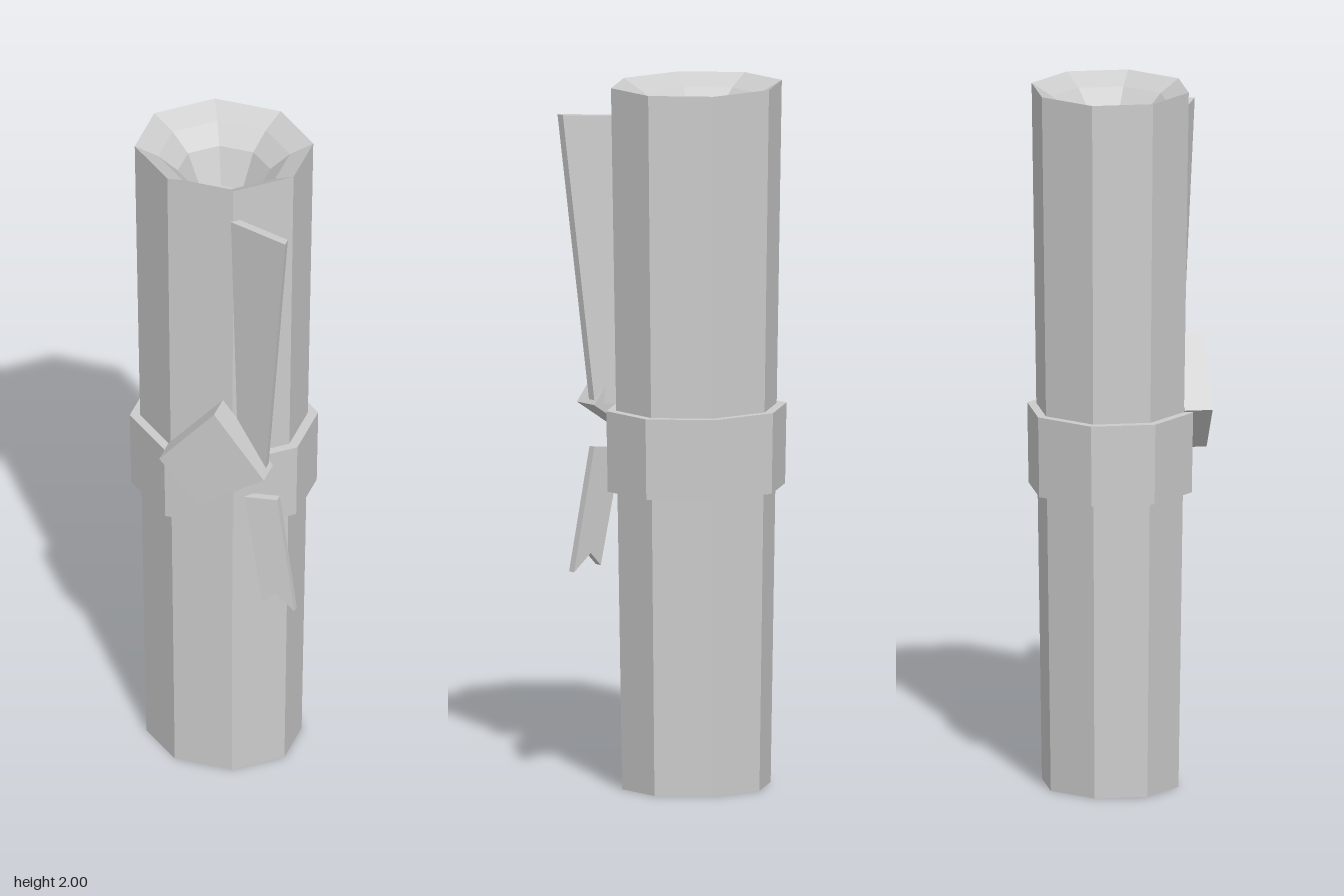
import * as THREE from 'three';

const SIDES = 8;
const AXIS_X = -0.019, AXIS_Z = -0.032, DEPTH_RATIO = 0.886;

export function createModel() {
  const group = new THREE.Group();
  group.name = 'tiedScroll';
  const paper = new THREE.MeshStandardMaterial({ color: 0xcccccc, flatShading: true });
  paper.name = 'plain grey';

  function add(name, geometry) {
    const mesh = new THREE.Mesh(geometry, paper);
    mesh.name = name;
    group.add(mesh);
    return mesh;
  }

  // Eight-sided turned part; the profile holds [half width, height] pairs
  function turned(name, profile) {
    const k = 1 / Math.cos(Math.PI / SIDES);
    const points = profile.map(([w, y]) => new THREE.Vector2(w * k, y));
    const mesh = add(name, new THREE.LatheGeometry(points, SIDES, Math.PI / SIDES));
    mesh.scale.z = DEPTH_RATIO;
    mesh.position.set(AXIS_X, 0, AXIS_Z);
  }

  // Flat outline given a thickness, then leaned so its front lies on z = front(x, y)
  function strip(name, outline, thickness, front) {
    const shape = new THREE.Shape(outline.map(([x, y]) => new THREE.Vector2(x, y)));
    const geometry = new THREE.ExtrudeGeometry(shape, { depth: thickness, bevelEnabled: false });
    const p = geometry.attributes.position;
    for (let i = 0; i < p.count; i++) {
      p.setZ(i, p.getZ(i) - thickness + front(p.getX(i), p.getY(i)));
    }
    geometry.computeVertexNormals();
    add(name, geometry);
  }

  // Rolled sheet, with a stepped funnel sunk into each end: [half width, depth]
  const funnel = [[0.236, 0], [0.174, 0.035], [0.122, 0.085], [0.077, 0.19], [0, 0.19]];
  turned('scrollBody', [
    ...funnel.map(([w, d]) => [w * 0.869, d]).reverse(),
    ...funnel.map(([w, d]) => [w, 2 - d]),
  ]);

  // Ribbon around the middle
  turned('band', [[0.2, 0.85], [0.245, 0.85], [0.249, 1.08], [0.2, 1.08]]);

  // Square knot on the front
  strip('knot', [[-0.118, 1.085], [0, 0.955], [0.193, 1.08], [0.045, 1.272]], 0.08, () => 0.245);

  // Long tail rising from the knot
  strip('upperTail', [[0.09, 1.08], [0.183, 1.08], [0.258, 1.905], [0.073, 1.895]], 0.025,
    (x, y) => 0.25 + 0.38 * (x - 0.258) + 0.026 * (y - 1.905));

  // Short notched tail hanging below
  strip('lowerTail', [[0.11, 0.955], [0.17, 0.622], [0.207, 0.66], [0.264, 0.61], [0.207, 0.965]], 0.023,
    (x, y) => 0.168 - 0.056 * (y - 0.965));

  return group;
}
